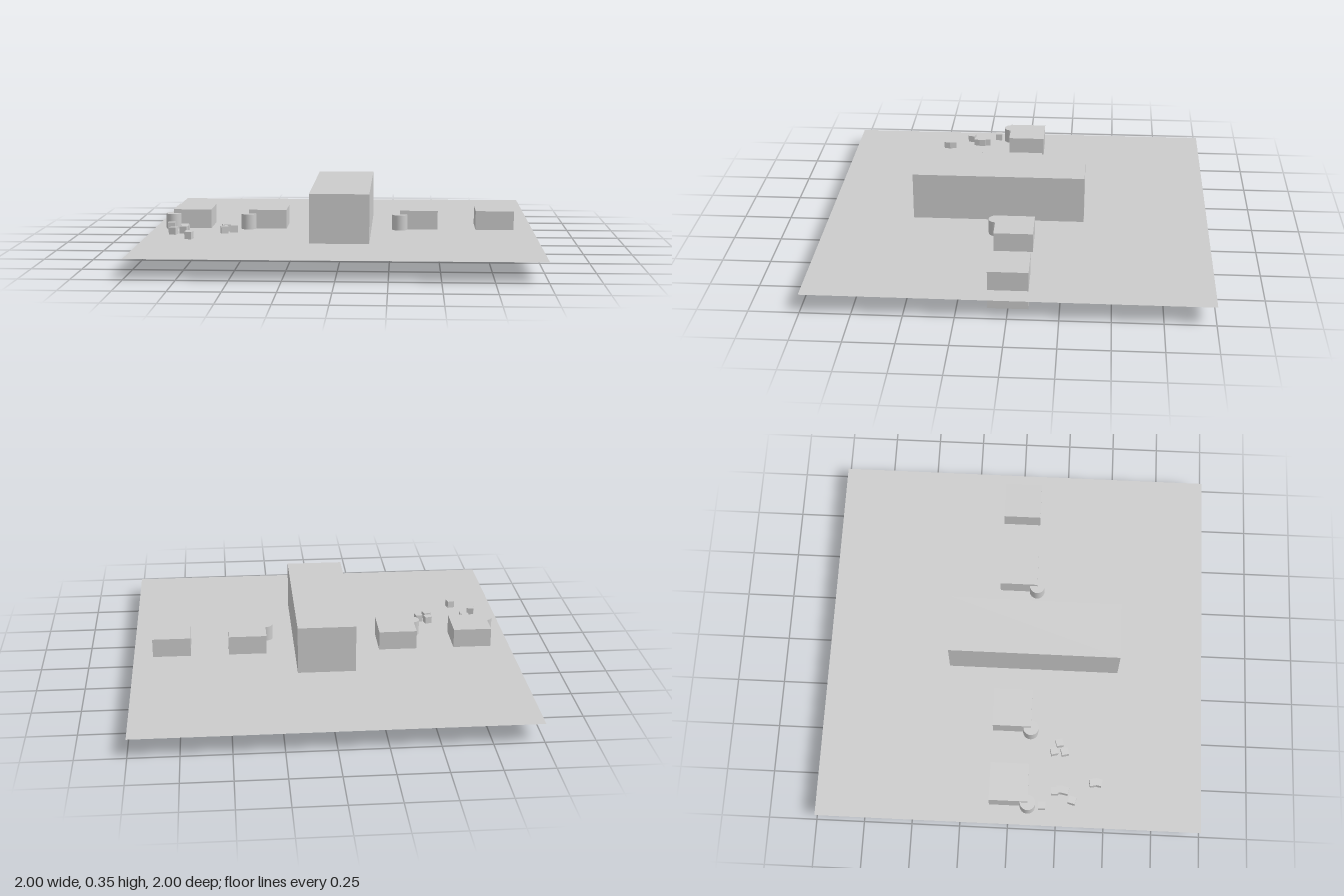
import * as THREE from 'three';

const GROUND_Y = 0.1;

export function createModel() {
  const model = new THREE.Group();
  const material = new THREE.MeshStandardMaterial({ color: 0xcccccc });
  const groundMaterial = new THREE.MeshStandardMaterial({ color: 0xcccccc, side: THREE.DoubleSide });

  function add(name, geometry, x, y, z, turn = 0, parent = model) {
    const mesh = new THREE.Mesh(geometry, material);
    mesh.name = name;
    mesh.position.set(x, y, z);
    mesh.rotation.y = turn;
    parent.add(mesh);
    return mesh;
  }

  // Thin square ground sheet
  const sheet = new THREE.PlaneGeometry(2, 2).rotateX(-Math.PI / 2);
  add('ground', sheet, 0, GROUND_Y, 0).material = groundMaterial;

  // Row of five blocks, half sunk into the ground
  const block = new THREE.BoxGeometry(0.2, 0.2, 0.2);
  for (let i = -2; i <= 2; i++) add('block', block, i * 0.4, GROUND_Y, 0);

  // Long central hall
  add('hall', new THREE.BoxGeometry(0.3, 0.3, 0.9), 0, 0.2, 0.1);

  // Round posts at the block corners
  const post = new THREE.CylinderGeometry(0.04, 0.04, 0.12, 32);
  for (const x of [-0.9, -0.5, 0.3]) add('post', post, x, 0.12, 0.1);

  // Small scattered cubes: x, z, turn
  const cube = new THREE.BoxGeometry(0.037, 0.037, 0.037);
  const clusters = {
    outerCubes: [
      [-0.9, 0.174, 0], [-0.82, 0.238, 0.08], [-0.812, 0.265, 0],
      [-0.816, 0.292, -0.2], [-0.866, 0.33, -0.25],
      [-0.767, 0.436, 0.2], [-0.765, 0.463, -0.2],
    ],
    innerCubes: [[-0.607, 0.227, 0.25], [-0.561, 0.254, 0.2], [-0.608, 0.283, 0.25]],
  };
  for (const [name, cubes] of Object.entries(clusters)) {
    const group = new THREE.Group();
    group.name = name;
    for (const [x, z, turn] of cubes) add('cube', cube, x, 0.124, z, turn, group);
    model.add(group);
  }

  return model;
}
